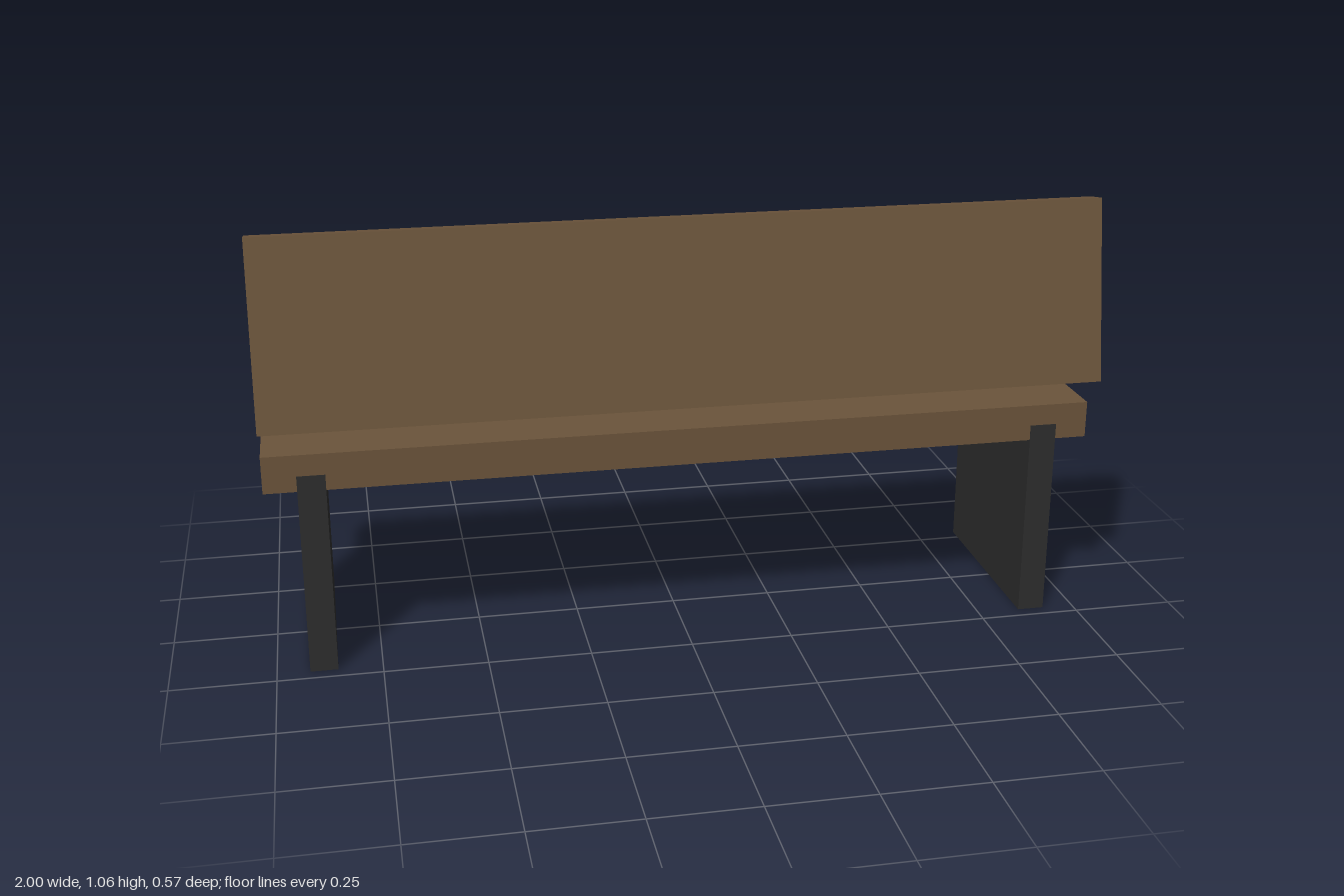
import * as THREE from 'three';

export function createModel() {
  const bench = new THREE.Group();
  bench.name = 'bench';

  const wood = new THREE.MeshStandardMaterial({ color: 0x6b543b });
  wood.name = 'brown wood';
  const metal = new THREE.MeshStandardMaterial({ color: 0x2d2d2d });
  metal.name = 'dark metal';

  function addBox(name, size, position, material) {
    const mesh = new THREE.Mesh(new THREE.BoxGeometry(...size), material);
    mesh.name = name;
    mesh.position.set(...position);
    bench.add(mesh);
    return mesh;
  }

  // Seat plank
  addBox('seat', [2, 0.09, 0.5], [0, 0.507, -0.034], wood);

  // Backrest plank, floating above the +z edge and leaning over the seat
  const backrest = addBox('backrest', [2, 0.443, 0.066], [0, 0.841, 0.213], wood);
  backrest.rotation.x = THREE.MathUtils.degToRad(-10);

  // Slab legs let into the seat, a hair deeper so their ends show on its edges
  for (const [name, side] of [['leftLeg', 1], ['rightLeg', -1]]) {
    addBox(name, [0.066, 0.5, 0.502], [side * 0.889, 0.25, -0.034], metal);
  }

  return bench;
}
